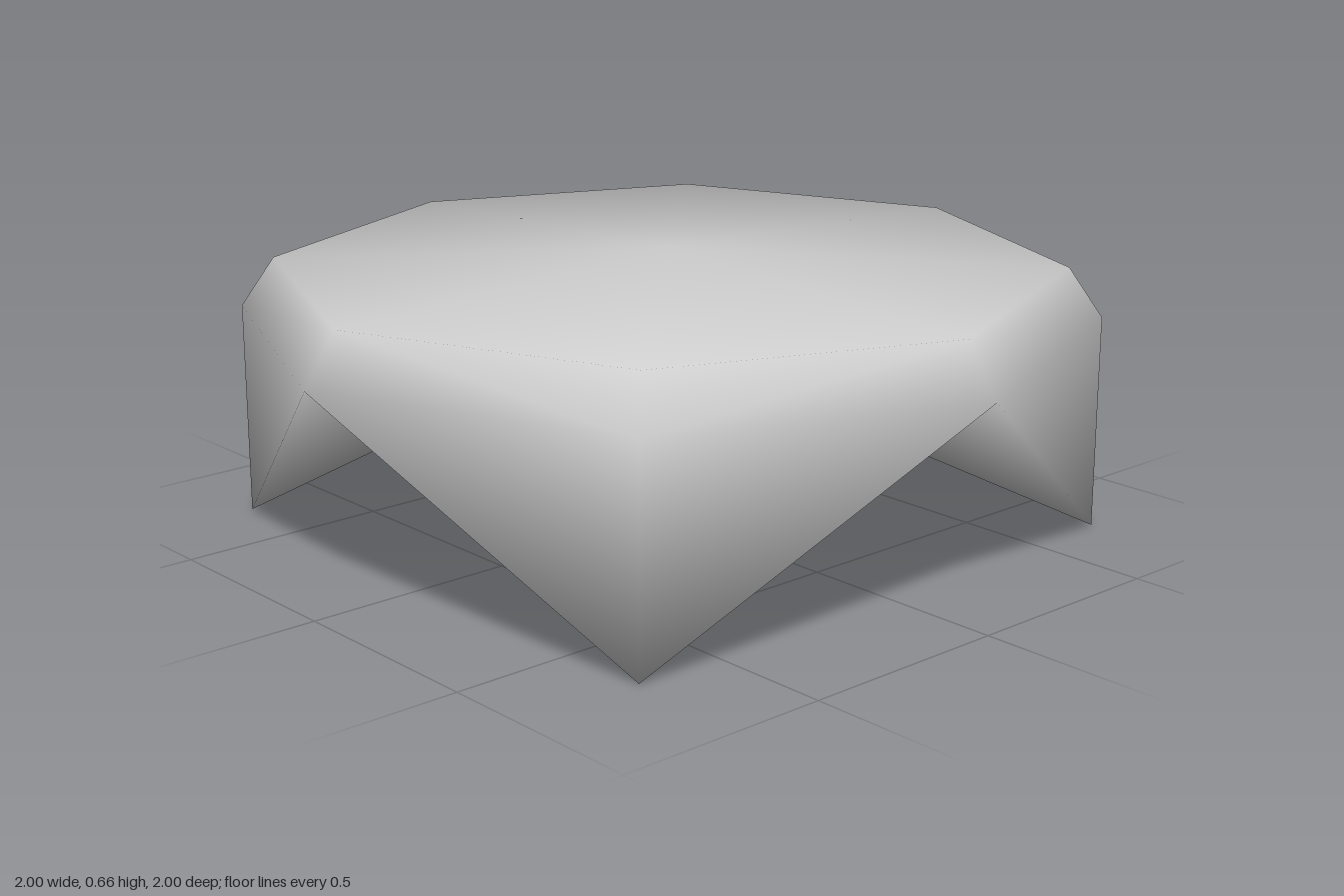
import * as THREE from 'three';

const SIDES = 8;
// Rings from the top edge down to the hem.
// Each ring: [radius, y] at the axis points, then [radius, y] at the corners.
const RINGS = [
  [0.92, 0.622, 0.92, 0.622], // top edge
  [1.0, 0.505, 1.0, 0.505],   // shoulder
  [0.79, 0.35, 1.0, 0.0],     // hem with four hanging points
  [0.79, 0.35, 0.79, 0.35],   // underside edge, used at the corners
];
const CROWN_Y = 0.66;
const UNDERSIDE_Y = 0.35;

// Smooth normals, each face weighted by its angle at the vertex.
function setSmoothNormals(geometry) {
  const position = geometry.attributes.position;
  const index = geometry.index.array;
  const points = [], normals = [];
  for (let i = 0; i < position.count; i++) {
    points.push(new THREE.Vector3().fromBufferAttribute(position, i));
    normals.push(new THREE.Vector3());
  }
  for (let f = 0; f < index.length; f += 3) {
    for (let k = 0; k < 3; k++) {
      const v = index[f + k];
      const e1 = points[index[f + (k + 1) % 3]].clone().sub(points[v]);
      const e2 = points[index[f + (k + 2) % 3]].clone().sub(points[v]);
      const faceNormal = e1.clone().cross(e2).normalize();
      normals[v].addScaledVector(faceNormal, e1.angleTo(e2));
    }
  }
  const flat = normals.flatMap((n) => n.normalize().toArray());
  geometry.setAttribute('normal', new THREE.Float32BufferAttribute(flat, 3));
}

function drapeGeometry() {
  const positions = [];
  const index = [];
  RINGS.forEach(([axisR, axisY, cornerR, cornerY]) => {
    for (let i = 0; i < SIDES; i++) {
      const a = (i * Math.PI * 2) / SIDES;
      const r = i % 2 ? cornerR : axisR;
      positions.push(r * Math.cos(a), i % 2 ? cornerY : axisY, r * Math.sin(a));
    }
  });
  const crown = RINGS.length * SIDES;
  const underside = crown + 1;
  positions.push(0, CROWN_Y, 0, 0, UNDERSIDE_Y, 0);

  const at = (ring, k) => ring * SIDES + k;
  for (let i = 0; i < SIDES; i++) {
    const j = (i + 1) % SIDES;
    const cornerFirst = i % 2 === 1;
    // crown fan
    index.push(crown, at(0, j), at(0, i));
    // outer bands, folded from the axis points to the hanging points
    for (let b = 0; b < 2; b++) {
      const ui = at(b, i), uj = at(b, j), li = at(b + 1, i), lj = at(b + 1, j);
      if (cornerFirst) index.push(ui, uj, li, uj, lj, li);
      else index.push(ui, uj, lj, ui, lj, li);
    }
    // inside face of each hanging point, then the underside fan
    const inI = cornerFirst ? at(3, i) : at(2, i);
    const inJ = cornerFirst ? at(2, j) : at(3, j);
    index.push(cornerFirst ? at(2, i) : at(2, j), inI, inJ);
    if (cornerFirst) index.splice(-3, 3, at(2, i), inJ, inI);
    else index.splice(-3, 3, at(2, j), inJ, inI);
    index.push(underside, inI, inJ);
  }
  const geometry = new THREE.BufferGeometry();
  geometry.setAttribute('position', new THREE.Float32BufferAttribute(positions, 3));
  geometry.setIndex(index);
  setSmoothNormals(geometry);
  return geometry;
}

export function createModel() {
  const group = new THREE.Group();
  group.name = 'drapedCloth';
  const clothGrey = new THREE.MeshStandardMaterial({ color: 0xcccccc });
  clothGrey.name = 'clothGrey';
  const cloth = new THREE.Mesh(drapeGeometry(), clothGrey);
  cloth.name = 'cloth';
  group.add(cloth);
  return group;
}
